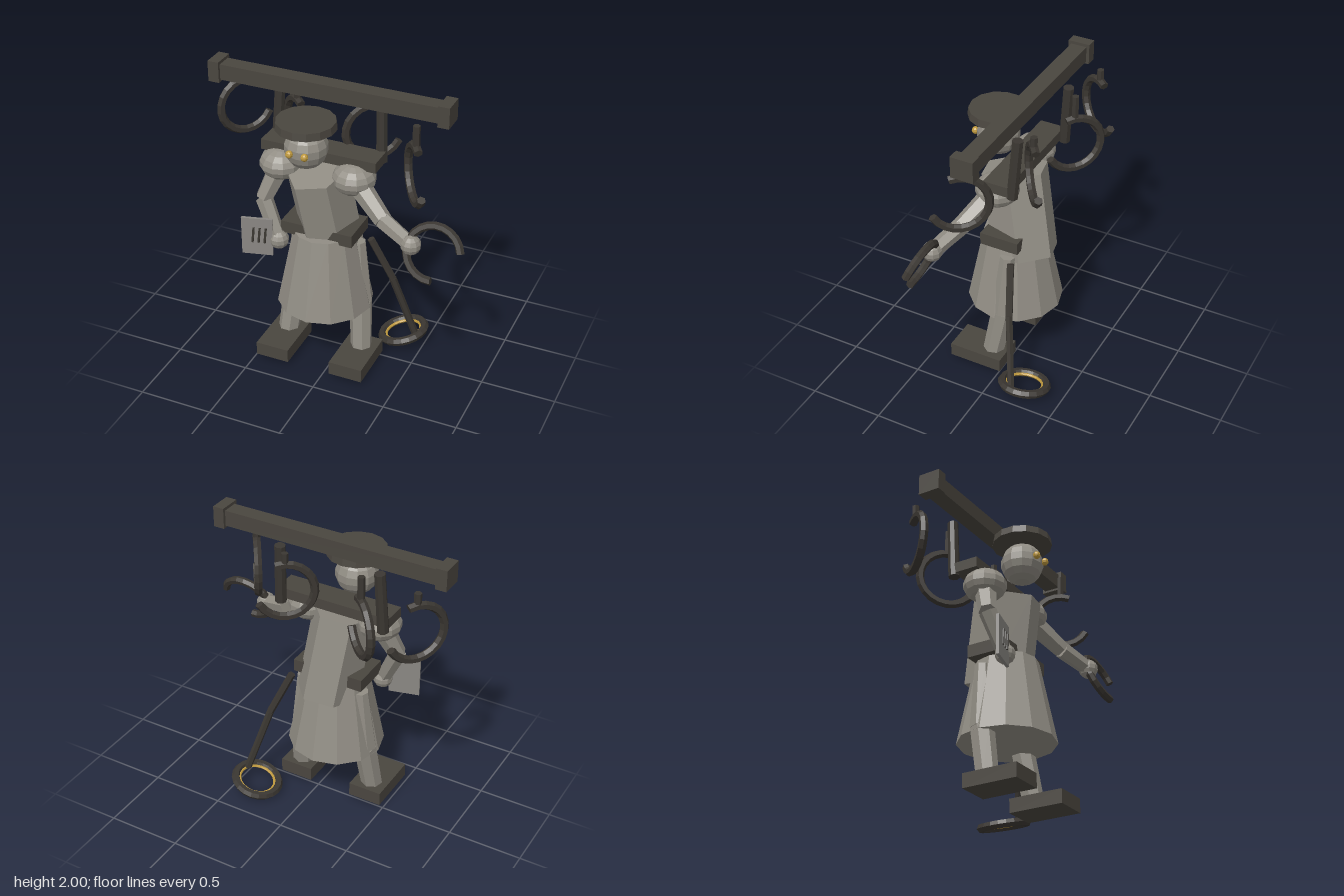
import * as THREE from 'three';
import { mergeGeometries } from 'three/addons/utils/BufferGeometryUtils.js';

const V = (x, y, z) => new THREE.Vector3(x, y, z);

export function createModel() {
  const model = new THREE.Group();
  const mat = (name, color) => {
    const m = new THREE.MeshStandardMaterial({ color });
    m.name = name;
    return m;
  };
  const stone = mat('stone grey', 0x918d84);
  const slate = mat('slate grey', 0x8a8783);
  const leather = mat('dark leather', 0x4a463f);
  const iron = mat('black iron', 0x3b3732);
  const brass = mat('brass', 0xc09a3e);

  // Faceted mesh with one normal per face
  const add = (name, geometry, material, parent = model) => {
    const g = geometry.index ? geometry.toNonIndexed() : geometry;
    g.computeVertexNormals();
    const mesh = new THREE.Mesh(g, material);
    mesh.name = name;
    parent.add(mesh);
    return mesh;
  };
  // Box from its lower and upper corners
  const box = (name, material, x0, x1, y0, y1, z0, z1) => {
    const m = add(name, new THREE.BoxGeometry(x1 - x0, y1 - y0, z1 - z0), material);
    m.position.set((x0 + x1) / 2, (y0 + y1) / 2, (z0 + z1) / 2);
    return m;
  };
  const ball = (name, material, p, r, ry = r, seg = 12) => {
    const m = add(name, new THREE.SphereGeometry(r, seg, Math.ceil(seg * 0.67)).scale(1, ry / r, 1), material);
    m.position.copy(p);
    return m;
  };
  // Tapered rod from a to b
  const rod = (name, material, a, b, ra, rb = ra, sides = 6, turn = 0, depth = 1) => {
    const d = b.clone().sub(a);
    const g = new THREE.CylinderGeometry(rb, ra, d.length(), sides).rotateY(turn).scale(1, 1, depth);
    const m = add(name, g, material);
    m.position.copy(a).add(b).multiplyScalar(0.5);
    m.quaternion.setFromUnitVectors(V(0, 1, 0), d.normalize());
    return m;
  };
  // Open ring with closed ends, angles in degrees
  const arcGeometry = (R, r, start, sweep) => {
    const a = THREE.MathUtils.degToRad(start), s = THREE.MathUtils.degToRad(sweep);
    const cap = (side, angle) => new THREE.CircleGeometry(r, 6)
      .rotateX(side * Math.PI / 2).translate(R, 0, 0).rotateZ(angle);
    return mergeGeometries([
      new THREE.TorusGeometry(R, r, 6, 16, s).rotateZ(a), cap(1, a), cap(-1, a + s),
    ]);
  };

  // Rail with end caps, carried on a shoulder yoke and two posts
  box('rail', leather, -0.835, 0.635, 1.875, 1.98, -0.07, 0.04);
  box('railCapRight', leather, -0.91, -0.835, 1.86, 2, -0.09, 0.06);
  box('railCapLeft', leather, 0.635, 0.71, 1.86, 2, -0.09, 0.06);
  box('yoke', leather, -0.53, 0.26, 1.475, 1.545, -0.07, 0.1);
  for (const s of [-1, 1]) {
    rod(s < 0 ? 'postRight' : 'postLeft', iron,
      V(-0.14 + s * 0.365, 1.46, -0.085), V(-0.14 + s * 0.347, 1.875, -0.115), 0.038, 0.036, 8);
  }

  // Hanging hooks: x, centre height, z, turn about the stem
  for (const [x, y, z, turn] of [
    [-0.783, 1.605, -0.2, 53], [-0.41, 1.525, -0.2, -42],
    [0.13, 1.61, -0.185, 37], [0.527, 1.54, 0.115, -55],
  ]) {
    rod('hookStem', iron, V(x, y + 0.17, z), V(x, 1.875, z), 0.024);
    const hook = add('hangingHook', arcGeometry(0.185, 0.028, 72, 260), iron);
    hook.position.set(x, y, z);
    hook.rotation.y = THREE.MathUtils.degToRad(turn);
  }

  // Head, eyes and flat cap
  ball('head', stone, V(-0.157, 1.63, 0.212), 0.14);
  for (const x of [-0.207, -0.104]) ball('eye', brass, V(x, 1.635, 0.352), 0.025, 0.025, 8);
  const cap = add('flatCap', new THREE.CylinderGeometry(0.19, 0.197, 0.05, 14), leather);
  cap.position.set(-0.157, 1.792, 0.212);

  // Leaning torso, skirt and belt
  rod('torso', stone, V(-0.08, 0.83, -0.02), V(-0.14, 1.41, 0.09), 0.2, 0.2, 6, 43 * Math.PI / 180, 1.15);
  const skirt = add('skirt', new THREE.CylinderGeometry(0.207, 0.32, 0.55, 12), stone);
  skirt.position.set(-0.103, 0.697, 0.063);
  box('belt', leather, -0.355, 0.14, 0.95, 1.035, -0.075, 0.195);

  // Legs and feet
  for (const s of [-1, 1]) {
    const cx = -0.1, side = s < 0 ? 'Right' : 'Left';
    const hip = V(cx + s * 0.21, 0.89, 0.01), knee = V(cx + s * 0.24, 0.45, 0.03);
    rod('thigh' + side, stone, hip, knee, 0.05, 0.078, 7);
    rod('shin' + side, stone, knee, V(cx + s * 0.27, 0.1, 0.09), 0.078, 0.072, 7);
    const fx = cx + s * 0.267;
    box('foot' + side, leather, fx - 0.116, fx + 0.116, 0.03, 0.125, -0.016, 0.36);
  }

  // Arms: shoulder, elbow, hand
  for (const [side, shoulder, elbow, hand] of [
    ['Right', V(-0.397, 1.4, 0.08), V(-0.49, 1.155, 0.16), V(-0.365, 0.9, 0.21)],
    ['Left', V(0.108, 1.4, 0.08), V(0.36, 1.225, 0.21), V(0.577, 1.15, 0.29)],
  ]) {
    ball('shoulder' + side, stone, shoulder, 0.143, 0.105);
    rod('upperArm' + side, stone, shoulder, elbow, 0.075, 0.058);
    rod('forearm' + side, stone, elbow, hand, 0.058, 0.05);
    ball('hand' + side, stone, hand, 0.066, 0.066, 10);
  }

  // Hook held in the left hand
  const heldHook = add('heldHook', arcGeometry(0.173, 0.027, 12, 262), iron);
  heldHook.position.set(0.727, 1.13, 0.3);
  heldHook.rotation.x = -0.38;

  // Tally board in the right hand
  const board = new THREE.Group();
  board.name = 'tallyBoard';
  board.position.set(-0.492, 0.925, 0.27);
  board.rotation.y = 0.25;
  model.add(board);
  add('boardPanel', new THREE.BoxGeometry(0.205, 0.27, 0.02), slate, board);
  for (const x of [-0.025, 0.015, 0.055]) {
    const mark = add('tallyMark', new THREE.BoxGeometry(0.014, 0.11, 0.008), iron, board);
    mark.position.set(x, 0.013, 0.014);
    mark.rotation.z = -0.1;
  }

  // Bent staff leading down to a tilted ring with a brass lining
  const top = V(0.175, 0.89, -0.045), bend = V(0.31, 0.58, -0.105), end = V(0.45, 0.11, -0.19);
  rod('staffUpper', iron, top, bend, 0.025);
  rod('staffLower', iron, bend, end, 0.025);
  const hoop = new THREE.Group();
  hoop.name = 'groundRing';
  hoop.position.set(0.347, 0.073, -0.238);
  hoop.rotation.z = 0.28;
  model.add(hoop);
  const flat = (R, r) => new THREE.TorusGeometry(R, r, 6, 20).rotateX(Math.PI / 2);
  add('ringRim', flat(0.15, 0.029), iron, hoop);
  add('ringLining', flat(0.122, 0.01), brass, hoop);

  return model;
}
